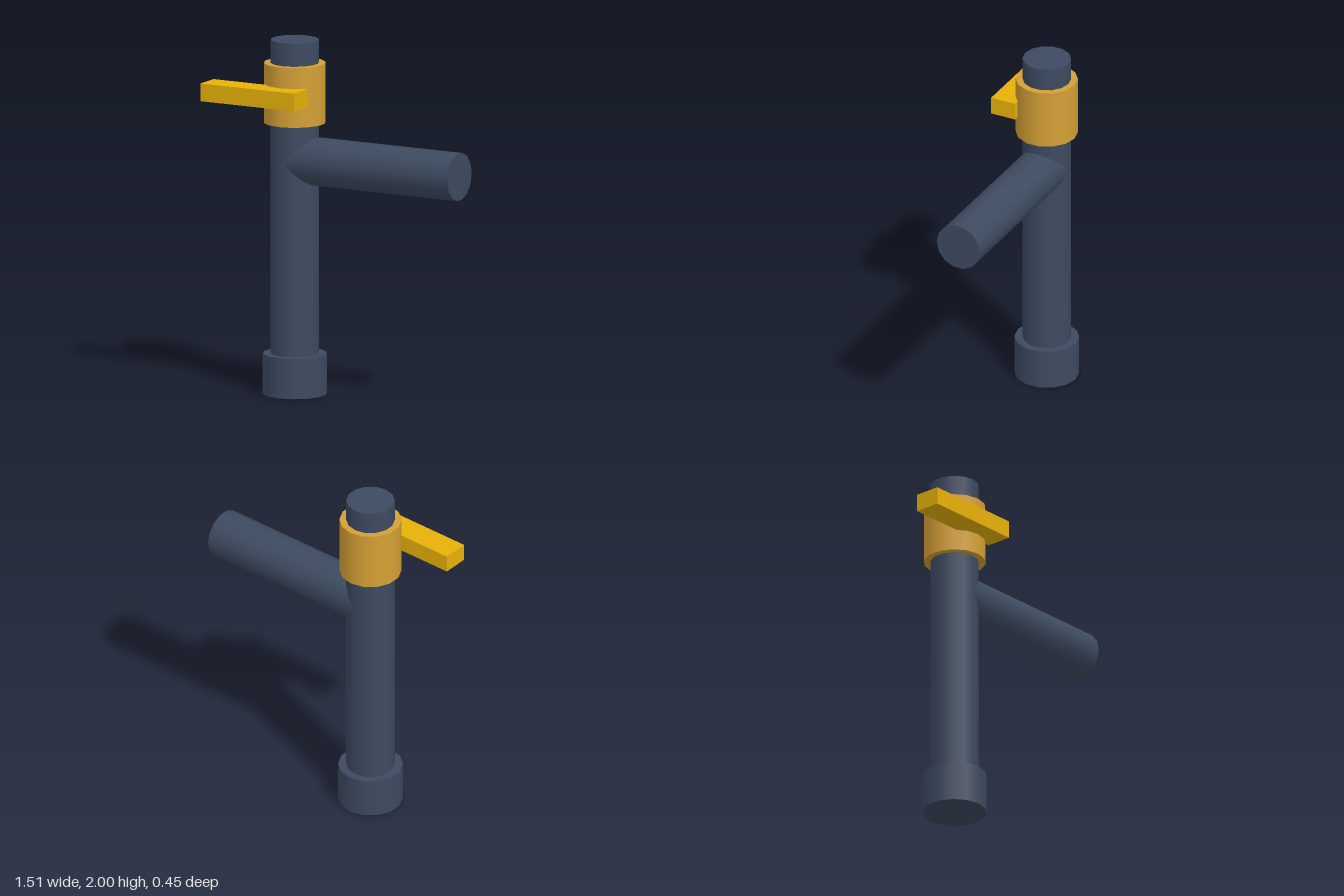
import * as THREE from 'three';

const SIDES = 14;
const AXIS_X = -0.303;
const AXIS_Z = -0.045;

function material(name, color) {
  const m = new THREE.MeshStandardMaterial({ color });
  m.name = name;
  return m;
}

export function createModel() {
  const model = new THREE.Group();
  model.name = 'valvePipe';
  const steel = material('slate blue', 0x3d4a60);
  const brass = material('brass', 0xd4a035);
  const yellow = material('yellow', 0xeab308);

  const add = (name, geometry, mat, x, y, z) => {
    const mesh = new THREE.Mesh(geometry, mat);
    mesh.name = name;
    mesh.position.set(x, y, z);
    model.add(mesh);
    return mesh;
  };

  // Upright cylinder on the main axis, between two heights
  const upright = (name, radius, y0, y1, mat) =>
    add(name, new THREE.CylinderGeometry(radius, radius, y1 - y0, SIDES), mat, AXIS_X, (y0 + y1) / 2, AXIS_Z);

  upright('mainPipe', 0.135, 0.01, 2, steel);
  upright('baseFitting', 0.18, 0, 0.228, steel);
  upright('valveCollar', 0.173, 1.532, 1.87, brass);

  // Side branch, starting at the main axis
  const branchEnd = 0.753;
  const length = branchEnd - AXIS_X;
  const branch = add('branchPipe', new THREE.CylinderGeometry(0.135, 0.135, length, SIDES), steel,
    AXIS_X + length / 2, 1.323, AXIS_Z);
  branch.rotation.z = Math.PI / 2;

  // Lever across the front of the collar
  add('leverHandle', new THREE.BoxGeometry(0.6, 0.1, 0.15), yellow, -0.453, 1.702, 0.15);

  return model;
}
